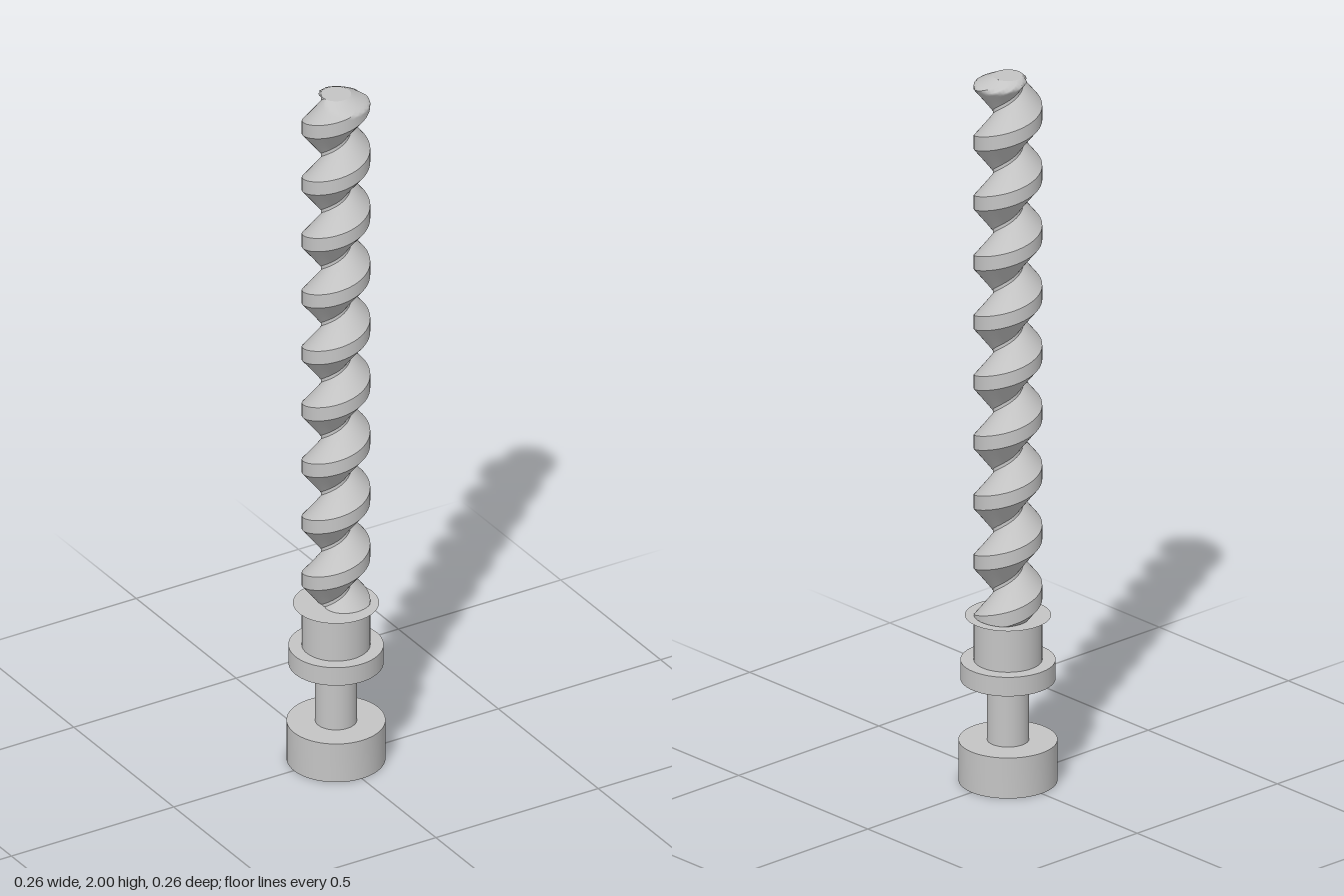
import * as THREE from 'three';
import { toCreasedNormals, mergeGeometries } from 'three/addons/utils/BufferGeometryUtils.js';

const CORE = 0.04, CREST = 0.09;      // screw radii
const BOTTOM = 0.47, TOP = 2;         // screw ends
const TURNS = 9;
const PITCH = (TOP - BOTTOM) / TURNS;
const CREST_HALF = 0.02, ROOT_HALF = 0.005;
const PHASE = 1.915 - PITCH / 2;      // crest height at angle 0 (+x)
const STEPS = 48;                     // columns per turn

// Screw radius at a height, given its offset from the crest centre
function screwRadius(y, offset) {
  const turns = offset / PITCH;
  const d = Math.abs(turns - Math.round(turns)) * PITCH;
  const f = (PITCH / 2 - ROOT_HALF - d) / (PITCH / 2 - ROOT_HALF - CREST_HALF);
  const r = CORE + (CREST - CORE) * THREE.MathUtils.clamp(f, 0, 1);
  return Math.min(r, CORE + (TOP - y) * 2);   // bevelled tip
}

// One helical face of the thread, between two offsets from the crest centre
function helicalBand(from, to) {
  const rows = 6, positions = [], index = [];
  const first = -2 * STEPS, last = (TURNS + 3) * STEPS;
  for (let i = first; i <= last; i++) {
    const angle = (i / STEPS) * Math.PI * 2;
    const crestY = PHASE + (i / STEPS - TURNS) * PITCH;
    for (let j = 0; j <= rows; j++) {
      const wanted = crestY + from + ((to - from) * j) / rows;
      const y = THREE.MathUtils.clamp(wanted, BOTTOM, TOP);
      const r = screwRadius(y, y - crestY);
      positions.push(r * Math.cos(angle), y, -r * Math.sin(angle));
      // skip cells lying wholly beyond either end
      const cellHigh = wanted + (to - from) / rows + PITCH / STEPS;
      if (i < last && j < rows && cellHigh > BOTTOM && wanted < TOP) {
        const a = (i - first) * (rows + 1) + j, b = a + rows + 1;
        index.push(a, b, a + 1, b, b + 1, a + 1);
      }
    }
  }
  const g = new THREE.BufferGeometry();
  g.setAttribute('position', new THREE.Float32BufferAttribute(positions, 3));
  g.setIndex(index);
  g.computeVertexNormals();
  return g;
}

export function createModel() {
  const group = new THREE.Group();
  const steel = new THREE.MeshStandardMaterial({ color: 0xc4c4c4, side: THREE.DoubleSide });
  steel.name = 'steel grey';

  const add = (name, geometry) => {
    const mesh = new THREE.Mesh(geometry, steel);
    mesh.name = name;
    group.add(mesh);
    return mesh;
  };
  const drum = (name, radius, y0, y1) => {
    add(name, new THREE.CylinderGeometry(radius, radius, y1 - y0, 64)).position.y = (y0 + y1) / 2;
  };
  const disc = (name, radius, y) => {
    const mesh = add(name, new THREE.CircleGeometry(radius, 64));
    mesh.rotation.x = -Math.PI / 2;
    mesh.position.y = y;
  };

  // Base with a tapered recess underneath
  const base = [[0, 0.09], [0.085, 0.09], [0.113, 0], [0.13, 0], [0.13, 0.115], [0, 0.115]];
  add('base', toCreasedNormals(
    new THREE.LatheGeometry(base.map(([x, y]) => new THREE.Vector2(x, y)), 64), 0.5));

  // Stacked shank
  drum('neck', 0.055, 0.115, 0.288);
  drum('flange', 0.125, 0.288, 0.342);
  drum('collar', 0.09, 0.342, 0.467);
  disc('washer', 0.113, 0.468);

  // Screw: root, lower flank, crest and upper flank
  const edges = [-PITCH / 2 - ROOT_HALF, -PITCH / 2 + ROOT_HALF, -CREST_HALF, CREST_HALF, PITCH / 2 - ROOT_HALF];
  add('screw', mergeGeometries(edges.slice(1).map((to, k) => helicalBand(edges[k], to))));
  disc('screwTip', CORE, TOP);

  return group;
}
